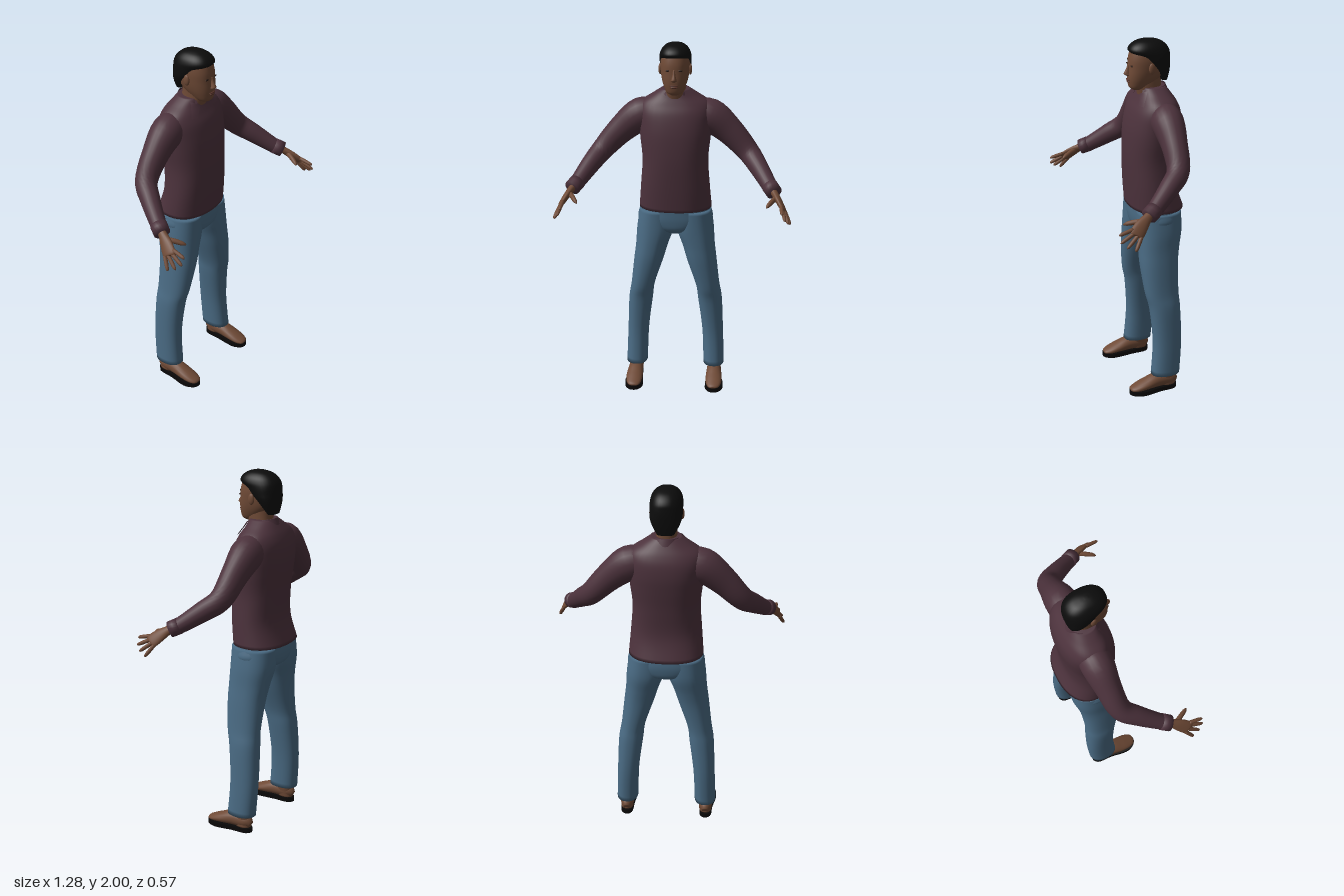
import * as THREE from 'three';
import { mergeVertices } from 'three/addons/utils/BufferGeometryUtils.js';

const V = (x, y, z) => new THREE.Vector3(x, y, z);
const paint = (name, color, side = THREE.FrontSide) => {
  const m = new THREE.MeshStandardMaterial({ color, side });
  m.name = name;
  return m;
};

// Catmull-Rom resampling of rows of numbers
function resample(keys, steps) {
  const out = [], last = keys.length - 1, at = i => keys[Math.min(last, Math.max(0, i))];
  for (let i = 0; i < last; i++) for (let s = 0; s < steps; s++) {
    const t = s / steps, [a, b, c, d] = [at(i - 1), at(i), at(i + 1), at(i + 2)];
    out.push(b.map((q, k) => q + 0.5 * t * (c[k] - a[k] +
      t * (2 * a[k] - 5 * q + 4 * c[k] - d[k] + t * (3 * (q - c[k]) + d[k] - a[k])))));
  }
  out.push(keys[last]);
  return out;
}

// grid of points to a smooth surface; closed grids are wrapped and capped
function skin(rows, closed = true) {
  const n = rows[0].length, pos = [], idx = [], span = closed ? n : n - 1;
  rows.flat().forEach(p => pos.push(p.x, p.y, p.z));
  for (let i = 0; i < rows.length - 1; i++) for (let j = 0; j < span; j++) {
    const k = (j + 1) % n, a = i * n + j, b = i * n + k, c = a + n, d = b + n;
    idx.push(a, c, b, b, c, d);
  }
  if (closed) [0, rows.length - 1].forEach((r, end) => {
    const mid = rows[r].reduce((s, p) => s.add(p), V(0, 0, 0)).divideScalar(n);
    const m = pos.push(mid.x, mid.y, mid.z) / 3 - 1;
    for (let j = 0; j < n; j++) {
      const a = r * n + j, b = r * n + (j + 1) % n;
      end ? idx.push(m, b, a) : idx.push(m, a, b);
    }
  });
  const g = new THREE.BufferGeometry();
  g.setAttribute('position', new THREE.Float32BufferAttribute(pos, 3));
  g.setIndex(idx);
  g.computeVertexNormals();
  return g;
}

const ring = (n, f) => Array.from({ length: n }, (_, j) => {
  const t = j / n * Math.PI * 2;
  return f(Math.cos(t), Math.sin(t));
});

// upright form from sections [y, centre x, half width, back z, front z]
const POW = 2.3;
const soft = c => Math.sign(c) * Math.pow(Math.abs(c), 2 / POW);
const column = (keys, steps = 5) => skin(resample(keys, steps).map(([y, cx, a, zb, zf]) =>
  ring(36, (c, s) => V(cx + a * soft(c), y, (zb + zf) / 2 + (zf - zb) / 2 * soft(s)))));

// limb along points [x, y, z, radius along ref, radius across]
function limb(keys, ref, sides = 20, steps = 5) {
  const k = resample(keys, steps), p = k.map(q => V(q[0], q[1], q[2]));
  return skin(k.map((q, i) => {
    const T = p[Math.min(i + 1, p.length - 1)].clone().sub(p[Math.max(i - 1, 0)]).normalize();
    const v = ref.clone().addScaledVector(T, -ref.dot(T)).normalize();
    const u = T.clone().cross(v);
    return ring(sides, (c, s) => p[i].clone().addScaledVector(u, c * q[4]).addScaledVector(v, s * q[3]));
  }));
}

// front depth of an upright form, and thin patches laid on it
function frontZ(keys, x, y) {
  const r = resample(keys, 5);
  let i = r.findIndex(q => q[0] >= y);
  i = Math.max(1, i < 0 ? r.length - 1 : i);
  const t = (y - r[i - 1][0]) / (r[i][0] - r[i - 1][0]);
  const [, , a, zb, zf] = r[i].map((q, k) => THREE.MathUtils.lerp(r[i - 1][k], q, t));
  const w = Math.max(0, 1 - Math.pow(Math.min(1, Math.abs(x / a)), POW));
  return (zb + zf) / 2 + (zf - zb) / 2 * Math.pow(w, 1 / POW);
}
// corners: lower left, lower right, upper left, upper right
function patch(keys, [a, b, c, d], lift, n = 8) {
  const mix = THREE.MathUtils.lerp, rows = [];
  for (let i = 0; i <= n; i++) rows.push(Array.from({ length: n + 1 }, (_, j) => {
    const u = 1 - j / n, v = 1 - i / n;
    const [x, y] = [0, 1].map(k => mix(mix(a[k], b[k], u), mix(c[k], d[k], u), v));
    return V(x, y, frontZ(keys, x, y) + lift);
  }));
  // rows run downward and right to left, so faces look forward
  return skin(rows, false);
}

function mirrored(geo) {
  const g = (geo.index ? geo.clone() : mergeVertices(geo)).scale(-1, 1, 1), x = g.index;
  for (let i = 0; i < x.count; i += 3) {
    const b = x.getX(i + 1);
    x.setX(i + 1, x.getX(i + 2));
    x.setX(i + 2, b);
  }
  return g;
}

const TORSO = [
  [1.068, 0, .203, -.28, .02], [1.2, 0, .192, -.238, .03], [1.35, 0, .182, -.243, .037],
  [1.47, 0, .193, -.256, .033], [1.55, 0, .2, -.262, .022], [1.62, 0, .203, -.255, .003],
  [1.67, 0, .185, -.235, -.022], [1.712, 0, .125, -.208, -.042], [1.745, 0, .076, -.185, -.05]];
const HEAD = [
  [1.728, 0, .022, -.06, -.01], [1.742, 0, .043, -.09, .01], [1.775, 0, .06, -.14, .018],
  [1.81, 0, .071, -.175, .02], [1.85, 0, .077, -.19, .017], [1.9, 0, .079, -.2, .013],
  [1.95, 0, .068, -.185, -.003], [1.98, 0, .04, -.15, -.03]];
const HAIR = [
  [1.775, 0, .045, -.198, -.155], [1.82, 0, .07, -.206, -.12], [1.855, 0, .083, -.21, -.085],
  [1.885, 0, .086, -.212, -.045], [1.915, 0, .086, -.211, -.02], [1.94, 0, .083, -.207, .014],
  [1.965, 0, .072, -.19, .006], [1.985, 0, .052, -.162, -.02], [1.996, 0, .028, -.125, -.052],
  [2, 0, .006, -.095, -.08]];
const LEG = [
  [.1, .225, .06, -.205, -.04], [.3, .217, .06, -.217, -.053], [.5, .2, .068, -.213, -.038],
  [.6, .185, .067, -.208, -.016], [.75, .152, .083, -.214, 0], [.85, .131, .092, -.228, .002],
  [.95, .11, .106, -.247, .002], [1.06, .1, .1, -.245, 0]];

export function createModel() {
  const model = new THREE.Group();
  const skinTone = paint('skin', 0x6f4a36), black = paint('hair black', 0x0c0c0c);
  const shirt = paint('shirt plum', 0x4c323c, THREE.DoubleSide);
  const seam = paint('seam dark plum', 0x2c1c23), denim = paint('trouser blue', 0x4a6b84);
  const sole = paint('sole black', 0x0a0808), lip = paint('lips', 0x573329);
  const eye = paint('eye', 0x2a1c16);
  const add = (name, geo, mat) => {
    const m = new THREE.Mesh(geo, mat);
    m.name = name;
    model.add(m);
  };
  const pair = (name, geo, mat) => {
    add(name + 'Left', geo, mat);
    add(name + 'Right', mirrored(geo), mat);
  };
  const ball = (x, y, z, a, b, c) => new THREE.SphereGeometry(1, 16, 12).scale(a, b, c).translate(x, y, z);

  // head
  add('head', column(HEAD), skinTone);
  add('hair', column(HAIR), black);
  add('neck', column([[1.64, 0, .06, -.17, -.05], [1.71, 0, .058, -.168, -.035],
    [1.76, 0, .056, -.165, -.025], [1.82, 0, .055, -.165, -.03]]), skinTone);
  add('nose', column([[1.806, 0, .008, -.01, .024], [1.813, 0, .017, -.01, .036],
    [1.822, 0, .014, -.01, .041], [1.845, 0, .009, -.01, .029], [1.872, 0, .007, -.01, .018]]), skinTone);
  add('upperLip', ball(0, 1.786, .018, .023, .005, .008), lip);
  add('lowerLip', ball(0, 1.777, .017, .02, .006, .008), lip);
  pair('ear', ball(.081, 1.855, -.088, .01, .03, .018), skinTone);
  pair('eye', ball(.033, 1.866, frontZ(HEAD, .033, 1.866), .013, .005, .004), eye);
  pair('brow', patch(HEAD, [[.014, 1.88], [.052, 1.882], [.014, 1.888], [.05, 1.891]], .003), black);

  // shirt body, open neck and collar
  add('shirtBody', column(TORSO), shirt);
  add('openNeck', patch(TORSO, [[-.002, 1.62], [.002, 1.62], [-.045, 1.735], [.045, 1.735]], .004), skinTone);
  add('placket', patch(TORSO, [[-.002, 1.075], [.002, 1.075], [-.002, 1.62], [.002, 1.62]], .003, 30), seam);
  pair('neckEdge', patch(TORSO, [[0, 1.608], [.006, 1.612], [.042, 1.73], [.05, 1.73]], .006), seam);
  pair('collarFlap', patch(TORSO, [[.085, 1.66], [.122, 1.663], [.036, 1.712], [.078, 1.735]], .011), shirt);
  const band = [0, 1].map(top => Array.from({ length: 33 }, (_, j) => {
    const t = Math.PI * (.5 + .2 + 1.6 * j / 32), back = (1 - Math.sin(t)) / 2;
    const r = top ? .074 : .092;
    return V(r * Math.cos(t), (top ? 1.732 : 1.69) + .02 * back, -.112 + (r + .004) * Math.sin(t));
  }));
  add('collarBand', skin(band, false), shirt);

  // sleeves
  const up = V(0, 1, 0);
  pair('sleeve', limb([[.1, 1.59, -.13, .08, .075], [.19, 1.588, -.132, .094, .088],
    [.3, 1.502, -.128, .077, .07], [.4, 1.395, -.11, .062, .06], [.46, 1.33, -.035, .054, .052],
    [.525, 1.252, .07, .042, .042], [.545, 1.235, .105, .041, .042]], up, 24), shirt);
  pair('cuff', limb([[.523, 1.255, .066, .044, .045], [.548, 1.233, .109, .043, .044]], up, 24, 2), shirt);

  // hands with fanned fingers
  const fan = V(-.38, .68, .63);
  pair('palm', limb([[.535, 1.245, .085, .024, .02], [.552, 1.227, .118, .025, .019],
    [.575, 1.198, .158, .036, .017], [.598, 1.166, .194, .038, .013], [.603, 1.16, .2, .02, .006]], fan), skinTone);
  const fingers = {
    indexFinger: [.029, .59, 1.17, .285], middleFinger: [.01, .606, 1.133, .282],
    ringFinger: [-.01, .625, 1.108, .254], littleFinger: [-.029, .636, 1.09, .212]
  };
  const digit = (a, b, r) => {
    const at = (t, k) => [...a.clone().lerp(b, t).toArray(), r * k, r * k];
    return limb([at(0, 1), at(.5, 1), at(.88, .8), at(1, .2)], fan, 10, 3);
  };
  for (const [name, [k, x, y, z]] of Object.entries(fingers)) {
    pair(name, digit(V(.595, 1.17, .19).addScaledVector(fan, k), V(x, y, z), .0105), skinTone);
  }
  pair('thumb', limb([[.56, 1.213, .135, .016, .014], [.537, 1.207, .178, .014, .013],
    [.517, 1.196, .215, .011, .011], [.507, 1.188, .232, .003, .003]], fan, 12), skinTone);

  // trousers
  add('hips', column([[.92, 0, .04, -.17, -.05], [.95, 0, .14, -.235, -.008],
    [1, 0, .207, -.252, .004], [1.06, 0, .199, -.25, .006], [1.13, 0, .18, -.228, .006]]), denim);
  pair('trouserLeg', column(LEG), denim);

  // feet and flat soles
  pair('ankle', column([[.03, .228, .035, -.18, -.09], [.08, .226, .037, -.178, -.075],
    [.16, .225, .042, -.18, -.08]]), skinTone);
  pair('foot', limb([[.228, .045, -.183, .02, .018], [.228, .06, -.15, .04, .036],
    [.229, .062, -.07, .042, .042], [.231, .048, 0, .03, .047], [.231, .036, .05, .02, .043],
    [.23, .03, .08, .012, .03], [.23, .028, .09, .005, .015]], up), skinTone);
  const outline = [[.2, -.17], [.228, -.19], [.257, -.17], [.267, -.08], [.284, .02], [.275, .06],
    [.25, .09], [.212, .09], [.184, .05], [.182, .01], [.192, -.08]];
  const print = new THREE.Shape(new THREE.CatmullRomCurve3(outline.map(([x, z]) => V(x, z, 0)), true)
    .getPoints(44).slice(0, -1).map(p => new THREE.Vector2(p.x, p.y)));
  pair('sole', new THREE.ExtrudeGeometry(print, { depth: .025, bevelEnabled: false })
    .rotateX(Math.PI / 2).translate(0, .025, 0), sole);

  return model;
}
